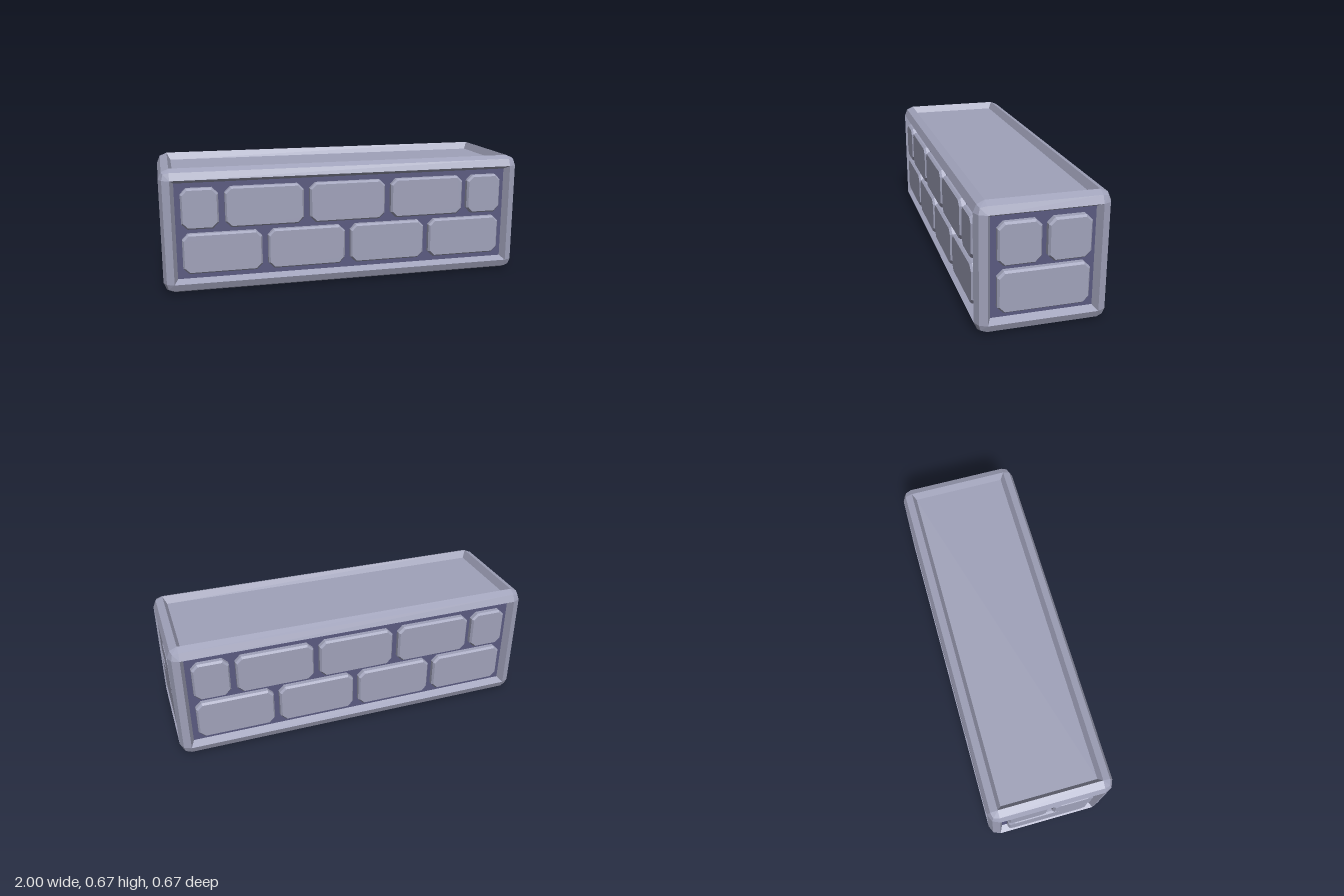
import * as THREE from 'three';

const H = 1 / 3;       // half height and half depth of the block
const RIM = 0.056;     // frame width from outer side to opening
const ROUND = 0.017;   // how far the bent outer edges sit inside the box
const CORNER = 0.025;  // the same for the eight corners
const SLOPE = 0.02;    // inward lean of the recess walls
const DEPTH = 0.04;    // depth of the recess

function surface(polygons) {
  const pos = [];
  for (const p of polygons)
    for (let i = 1; i < p.length - 1; i++) pos.push(...p[0], ...p[i], ...p[i + 1]);
  const g = new THREE.BufferGeometry();
  g.setAttribute('position', new THREE.Float32BufferAttribute(pos, 3));
  g.computeVertexNormals();
  return g;
}

// Bevelled rim and sloped recess walls of one side; a, b are half sizes, c is the distance outward
function frameGeometry(a, b, c) {
  const signs = [[-1, -1], [1, -1], [1, 1], [-1, 1]];
  const loop = (ix, iy, iz) => signs.map(([x, y]) => [x * (a - ix), y * (b - iy), c - iz]);
  const opening = loop(RIM, RIM, 0);
  const floor = loop(RIM + SLOPE, RIM + SLOPE, DEPTH);
  const corner = loop(CORNER, CORNER, CORNER);
  const alongX = loop(RIM, ROUND, ROUND);
  const alongY = loop(ROUND, RIM, ROUND);
  const polys = [];
  for (let i = 0; i < 4; i++) {
    const j = (i + 1) % 4;
    const edge = i % 2 === 0 ? alongX : alongY;
    const other = i % 2 === 0 ? alongY : alongX;
    polys.push([edge[i], edge[j], opening[j], opening[i]]);
    polys.push([opening[i], opening[j], floor[j], floor[i]]);
    polys.push([corner[i], edge[i], opening[i]]);
    polys.push([other[i], corner[i], opening[i]]);
  }
  return surface(polys);
}

// Brick with cut corners and a bevelled face
function brickGeometry(w, h, height) {
  const bevel = 0.009, rise = 0.012, cut = 0.026;
  const x = w / 2 - bevel, y = h / 2 - bevel;
  const outline = new THREE.Shape([
    [-x + cut, -y], [x - cut, -y], [x, -y + cut], [x, y - cut],
    [x - cut, y], [-x + cut, y], [-x, y - cut], [-x, -y + cut],
  ].map(([px, py]) => new THREE.Vector2(px, py)));
  return new THREE.ExtrudeGeometry(outline, {
    depth: height - rise, bevelEnabled: true, bevelSegments: 1,
    bevelSize: bevel, bevelThickness: rise,
  });
}

export function createModel() {
  const stone = new THREE.MeshStandardMaterial({ color: 0xa0a2ba });
  stone.name = 'stone';
  const mortar = new THREE.MeshStandardMaterial({ color: 0x5a5a80 });
  mortar.name = 'mortar';

  const model = new THREE.Group();
  model.name = 'brickBlock';

  function add(parent, name, geometry, material) {
    const mesh = new THREE.Mesh(geometry, material);
    mesh.name = name;
    parent.add(mesh);
    return mesh;
  }

  // One side of the block: rim, recessed panel and optional bricks [left, right, bottom, top, height]
  function side(name, a, b, c, rotX, rotY, panelMaterial, bricks = []) {
    const group = new THREE.Group();
    group.name = name;
    group.position.y = H;
    group.rotation.set(rotX, rotY, 0);
    add(group, 'frame', frameGeometry(a, b, c), stone);
    const inset = 2 * (RIM + SLOPE);
    add(group, 'panel', new THREE.PlaneGeometry(2 * a - inset, 2 * b - inset), panelMaterial)
      .position.z = c - DEPTH;
    for (const [x0, x1, y0, y1, height] of bricks) {
      add(group, 'brick', brickGeometry(x1 - x0, y1 - y0, height), stone)
        .position.set((x0 + x1) / 2, (y0 + y1) / 2 - H, c - DEPTH);
    }
    model.add(group);
  }

  // Courses of bricks
  const upper = [0.348, 0.565], lower = [0.107, 0.323];
  const longBricks = [
    ...[[-0.895, -0.7], [-0.667, -0.247], [-0.213, 0.207], [0.242, 0.662], [0.692, 0.892]]
      .map((x) => [...x, ...upper, 0.035]),
    ...[[-0.895, -0.475], [-0.443, -0.02], [0.012, 0.436], [0.468, 0.89]]
      .map((x) => [...x, ...lower, 0.035]),
  ];
  const endBricks = [
    [-0.229, -0.015, ...upper, 0.033],
    [0.013, 0.229, ...upper, 0.039],
    [-0.229, 0.229, ...lower, 0.035],
  ];

  const half = Math.PI / 2;
  side('frontWall', 1, H, H, 0, 0, mortar, longBricks);
  side('backWall', 1, H, H, 0, Math.PI, mortar, longBricks);
  side('leftWall', H, H, 1, 0, half, mortar, endBricks);
  side('rightWall', H, H, 1, 0, -half, mortar, endBricks);
  side('top', 1, H, H, -half, 0, stone);
  side('bottom', 1, H, H, half, 0, stone);
  return model;
}
